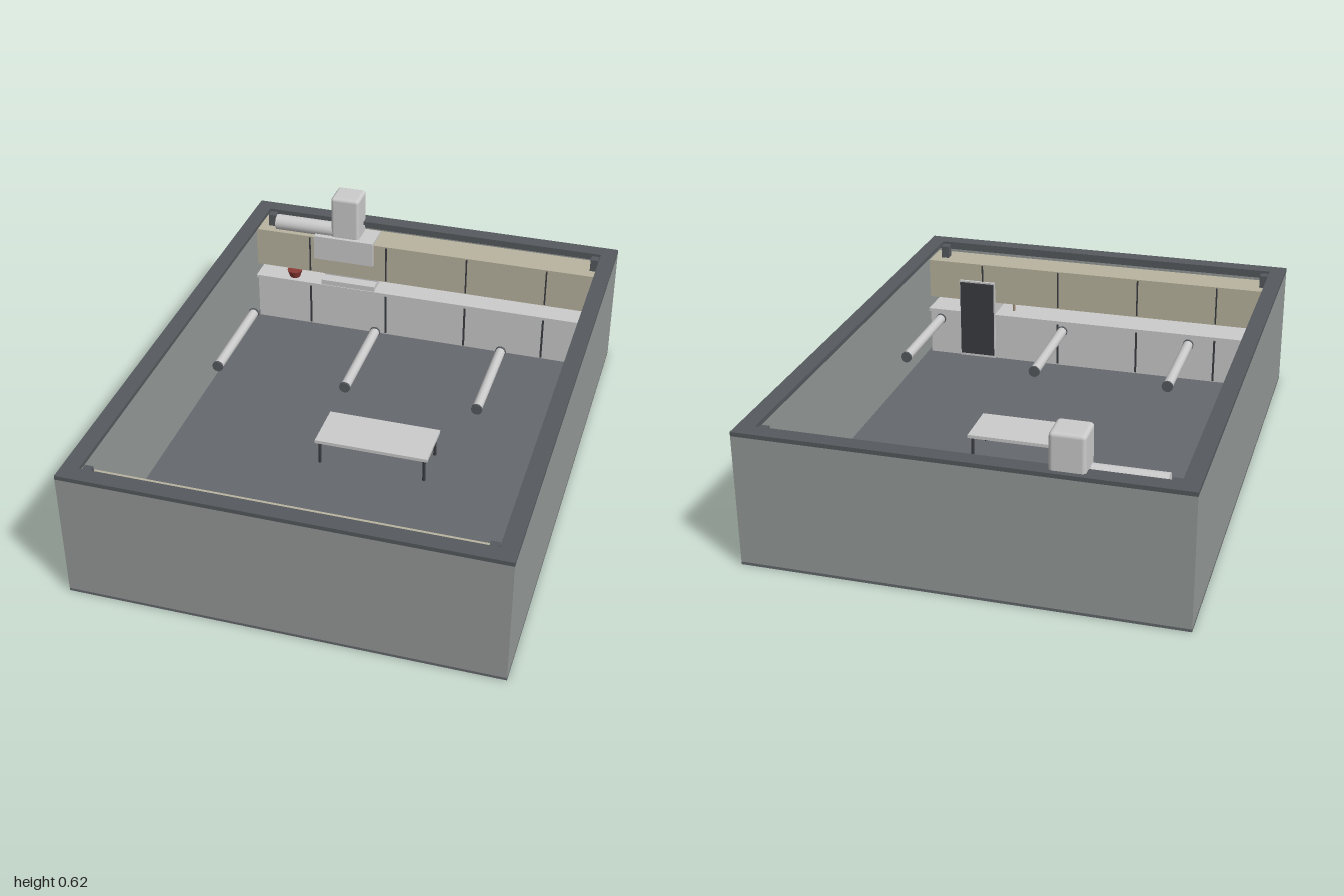
import * as THREE from 'three';
import { RoundedBoxGeometry } from 'three/addons/geometries/RoundedBoxGeometry.js';

const mat = (color) => new THREE.MeshStandardMaterial({ color });

export function createModel() {
  const model = new THREE.Group();
  const grey = mat(0xcccccc), wallMat = mat(0x949997), floorMat = mat(0x65686d);
  const trimMat = mat(0x565a5e), beige = mat(0xb9b49f), dark = mat(0x3a3c40);
  const red = mat(0x8a3a35), brass = mat(0xa08c78);

  const add = (parent, name, geometry, material) => {
    const mesh = new THREE.Mesh(geometry, material);
    mesh.name = name;
    parent.add(mesh);
    return mesh;
  };
  // Box given by its limits on each axis
  const box = (parent, name, [x0, x1], [y0, y1], [z0, z1], material) => {
    const mesh = add(parent, name, new THREE.BoxGeometry(x1 - x0, y1 - y0, z1 - z0), material);
    mesh.position.set((x0 + x1) / 2, (y0 + y1) / 2, (z0 + z1) / 2);
    return mesh;
  };

  // Room shell: thin walls on a floor slab
  box(model, 'floor', [-0.76, 0.76], [0, 0.01], [-1, 1], floorMat);
  for (const s of [-1, 1]) {
    const side = box(model, 'sideWall', [-0.005, 0.005], [0.01, 0.475], [-1, 1], wallMat);
    side.position.x = s * 0.755;
    const end = box(model, 'endWall', [-0.75, 0.75], [0.01, 0.475], [-0.005, 0.005], wallMat);
    end.position.z = s * 0.995;
  }

  // Stepped crown moulding around the top of the walls
  const frame = (name, hx, hz, w, y0, y1) => {
    const rect = (p, x, z) => p.moveTo(-x, -z).lineTo(x, -z).lineTo(x, z).lineTo(-x, z).closePath();
    const shape = rect(new THREE.Shape(), hx, hz);
    shape.holes.push(rect(new THREE.Path(), hx - w, hz - w));
    const g = new THREE.ExtrudeGeometry(shape, { depth: y1 - y0, bevelEnabled: false });
    g.rotateX(-Math.PI / 2);
    add(model, name, g, trimMat).position.y = y0;
  };
  frame('crownMoulding', 0.76, 1, 0.06, 0.475, 0.49);
  frame('lowerCrown', 0.75, 0.99, 0.03, 0.452, 0.475);
  for (const sx of [-1, 1]) for (const sz of [-1, 1]) {
    const bracket = box(model, 'cornerBracket', [-0.015, 0.015], [0.43, 0.48], [-0.017, 0.017], trimMat);
    bracket.position.x = sx * 0.68;
    bracket.position.z = sz * 0.922;
  }

  // A run of base cabinets, counter and wall cabinets, facing +z from the back wall
  const cabinetRun = (name) => {
    const run = new THREE.Group();
    run.name = name;
    model.add(run);
    box(run, 'baseCabinets', [-0.735, 0.735], [0.01, 0.2], [-0.99, -0.86], grey);
    box(run, 'counter', [-0.74, 0.74], [0.2, 0.213], [-0.99, -0.85], grey);
    box(run, 'wallCabinets', [-0.735, 0.735], [0.265, 0.43], [-0.99, -0.86], beige);
    for (const x of [-0.5, -0.17, 0.17, 0.5]) {
      box(run, 'baseDoorGap', [x - 0.004, x + 0.004], [0.015, 0.195], [-0.865, -0.857], dark);
      box(run, 'wallDoorGap', [x - 0.003, x + 0.003], [0.27, 0.426], [-0.865, -0.857], dark);
    }
    return run;
  };
  cabinetRun('backCabinets');
  cabinetRun('frontCabinets').rotation.y = Math.PI;

  // Cooker with hood and extractor ducts
  box(model, 'cooker', [-0.45, -0.22], [0.2, 0.235], [-0.97, -0.853], grey);
  box(model, 'cookerBack', [-0.45, -0.22], [0.235, 0.285], [-0.97, -0.9], grey);
  box(model, 'hood', [-0.48, -0.225], [0.335, 0.44], [-0.97, -0.85], grey);
  const vent = add(model, 'verticalDuct', new RoundedBoxGeometry(0.12, 0.19, 0.115, 2, 0.014), grey);
  vent.position.set(-0.35, 0.523, -0.923);
  const duct = add(model, 'horizontalDuct', new THREE.CylinderGeometry(0.032, 0.032, 0.27, 20), grey);
  duct.rotation.z = Math.PI / 2;
  duct.position.set(-0.52, 0.457, -0.9);

  // Pot on the back counter
  const pot = add(model, 'pot', new THREE.CylinderGeometry(0.032, 0.022, 0.03, 16), red);
  pot.position.set(-0.58, 0.228, -0.89);

  // Fridge with dark door on the front side
  box(model, 'fridge', [0.445, 0.6], [0.012, 0.355], [0.85, 0.985], grey);
  box(model, 'fridgeDoor', [0.45, 0.595], [0.025, 0.348], [0.842, 0.851], dark);

  // Tap on the front counter
  const tapPath = new THREE.CatmullRomCurve3([[0.21, 0.92], [0.275, 0.92], [0.295, 0.9], [0.275, 0.875]]
    .map(([y, z]) => new THREE.Vector3(0.38, y, z)));
  add(model, 'tap', new THREE.TubeGeometry(tapPath, 16, 0.006, 8), brass);

  // Table
  box(model, 'tableTop', [-0.175, 0.26], [0.105, 0.118], [-0.1, 0.095], grey);
  for (const x of [-0.16, 0.245]) for (const z of [-0.085, 0.08]) {
    const leg = add(model, 'tableLeg', new THREE.CylinderGeometry(0.006, 0.006, 0.096, 8), dark);
    leg.position.set(x, 0.057, z);
  }

  // Hanging tube lights
  for (const x of [-0.505, -0.025, 0.455]) {
    const light = new THREE.Group();
    light.name = 'tubeLight';
    light.position.set(x, 0.45, 0);
    model.add(light);
    add(light, 'tube', new THREE.CylinderGeometry(0.018, 0.018, 0.38, 12), grey).rotation.x = Math.PI / 2;
    for (const s of [-1, 1]) {
      const cap = add(light, 'endCap', new THREE.CylinderGeometry(0.02, 0.02, 0.008, 12), trimMat);
      cap.rotation.x = Math.PI / 2;
      cap.position.z = s * 0.192;
    }
  }
  return model;
}
